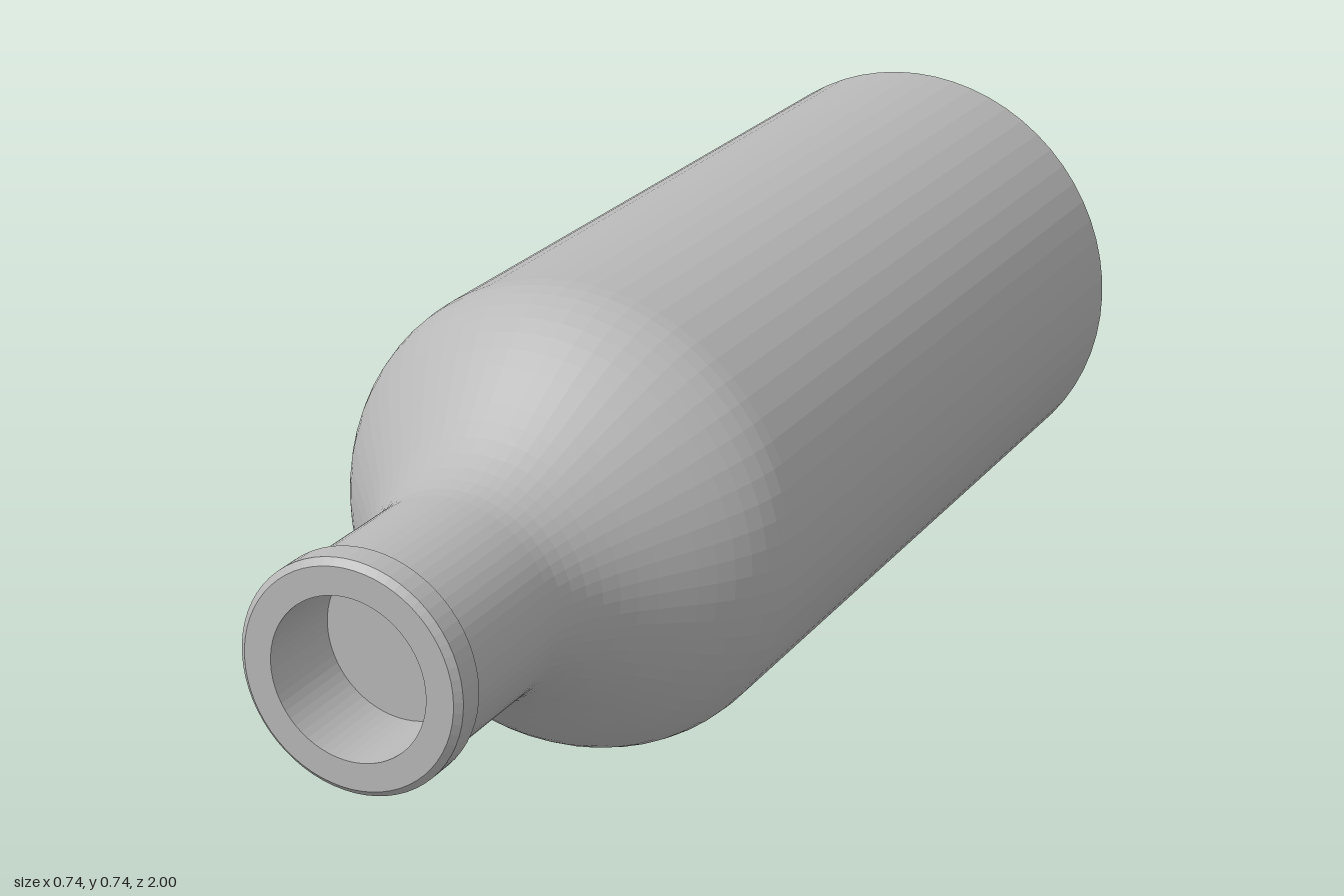
import * as THREE from 'three';

const RADIUS = 0.369;
const NECK = 0.163;
const BORE = 0.122;
const SEGMENTS = 64;

export function createModel() {
  const bottle = new THREE.Group();
  bottle.name = 'bottle';
  const grey = new THREE.MeshStandardMaterial({ color: 0xb8b8b8, flatShading: true });
  grey.name = 'grey';

  // Revolve [radius, z] pairs around the bottle's lengthwise axis
  const addTurned = (name, profile) => {
    const points = profile.map(([r, z]) => new THREE.Vector2(r, z));
    const geometry = new THREE.LatheGeometry(points, SEGMENTS);
    geometry.rotateX(Math.PI / 2);
    const mesh = new THREE.Mesh(geometry, grey);
    mesh.name = name;
    mesh.position.y = RADIUS;
    bottle.add(mesh);
  };

  // Flat base with a chamfered rim
  addTurned('base', [[0, -1], [0.326, -1], [RADIUS, -0.96]]);

  // Straight body
  addTurned('body', [[RADIUS, -0.96], [RADIUS, 0.35]]);

  // S-curved shoulder, tangent to the body and the neck
  const shoulder = [];
  const steps = 16;
  for (let i = 0; i <= steps; i++) {
    const t = i / steps;
    const blend = (1 + Math.cos(Math.PI * t)) / 2;
    shoulder.push([NECK + (RADIUS - NECK) * blend, 0.35 + 0.37 * t]);
  }
  addTurned('shoulder', shoulder);

  // Neck
  addTurned('neck', [[NECK, 0.72], [NECK, 0.943]]);

  // Lip ring with small chamfers and a flat front face
  addTurned('lip', [
    [NECK, 0.943], [0.168, 0.943], [0.174, 0.949],
    [0.174, 0.991], [0.164, 1], [BORE, 1],
  ]);

  // Blind bore in the mouth
  addTurned('bore', [[BORE, 1], [BORE, 0.855], [0, 0.855]]);

  return bottle;
}
